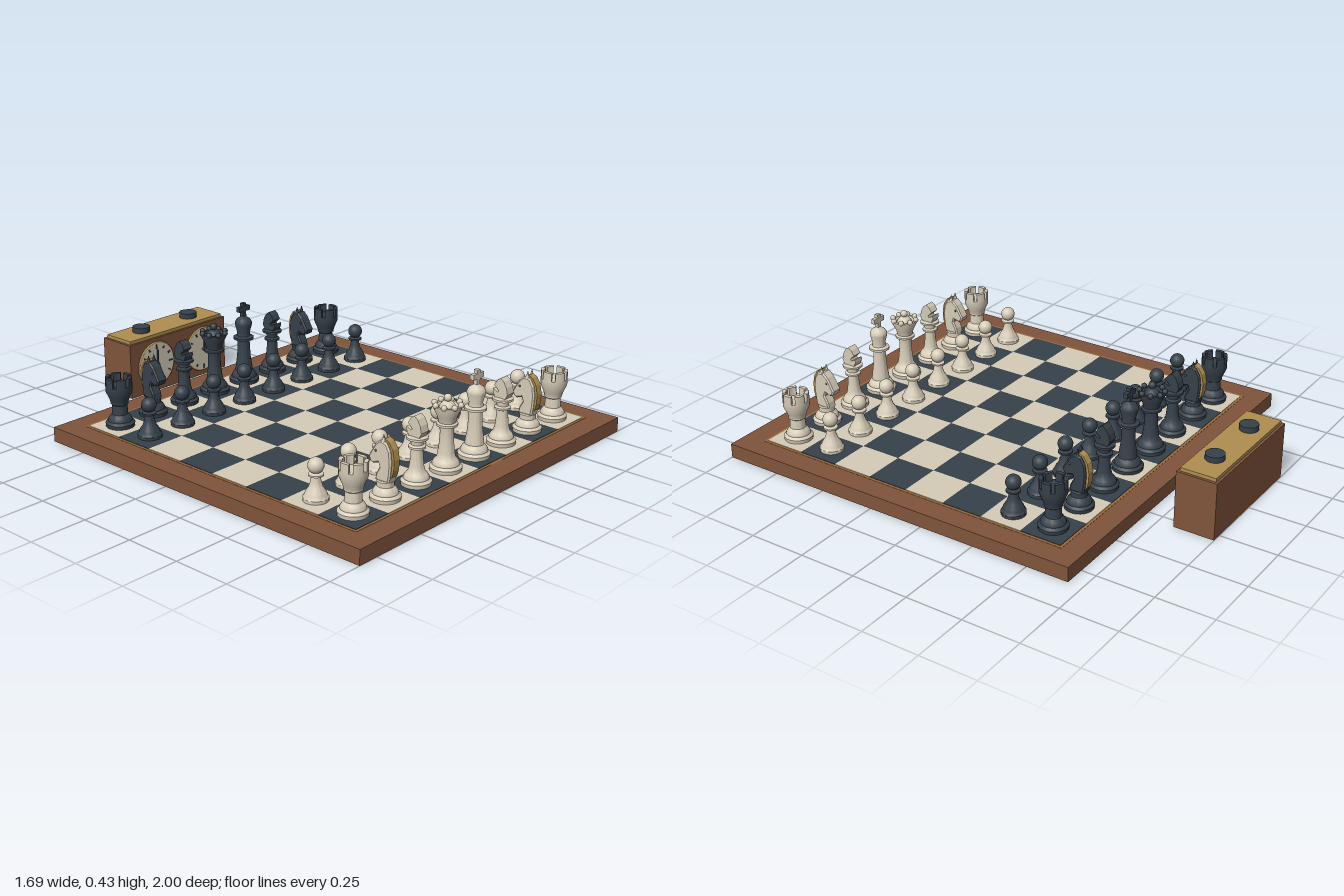
import * as THREE from 'three';
import { toCreasedNormals } from 'three/addons/utils/BufferGeometryUtils.js';

const mat = (color, side = THREE.FrontSide) => new THREE.MeshStandardMaterial({ color, side });
const CREAM = mat(0xd6ccb8), DARK = mat(0x36414a), WOOD = mat(0x80553c);
const BRASS = mat(0xb08f50), TRIM = mat(0x9c6c38);
const SQ = 0.184, CZ = 0.153, TOP = 0.067;

function add(parent, name, geo, material, x = 0, y = 0, z = 0) {
  const m = new THREE.Mesh(geo, material);
  m.name = name;
  m.position.set(x, y, z);
  parent.add(m);
  return m;
}
const box = (w, h, d) => new THREE.BoxGeometry(w, h, d);
const cyl = (r, h, n = 28) => new THREE.CylinderGeometry(r, r, h, n);
const ball = (r) => new THREE.SphereGeometry(r, 20, 14);

// Turned body from [radius, height] pairs, closed on the axis
function turned(points) {
  const p = [[0, 0], ...points, [0, points[points.length - 1][1]]];
  const g = new THREE.LatheGeometry(p.map(([r, y]) => new THREE.Vector2(r, y)), 28);
  return toCreasedNormals(g, 0.6);
}

// Outline of [z, y] pairs, extruded to a slab centred on x = 0
function slab(points, width, bevel = 0) {
  const s = new THREE.Shape(points.map(([z, y]) => new THREE.Vector2(z, y)));
  const g = new THREE.ExtrudeGeometry(s, {
    depth: width - 2 * bevel, bevelEnabled: bevel > 0, bevelSize: bevel, bevelThickness: bevel,
    bevelOffset: -bevel, bevelSegments: 1,
  });
  g.translate(0, 0, -(width - 2 * bevel) / 2);
  g.rotateY(-Math.PI / 2);
  return g;
}

// Shared stepped foot of the large pieces
const foot = (r) => [[r, 0], [r + 0.002, 0.016], [r - 0.004, 0.022], [r - 0.009, 0.026],
  [r - 0.009, 0.032], [r - 0.017, 0.045], [r - 0.026, 0.055]];

const pieces = {
  pawn(g, m) {
    add(g, 'pawnBody', turned([[0.05, 0], [0.051, 0.014], [0.046, 0.02], [0.043, 0.028], [0.04, 0.036],
      [0.028, 0.054], [0.021, 0.075], [0.018, 0.096], [0.03, 0.1], [0.03, 0.107], [0.016, 0.113]]), m);
    add(g, 'pawnHead', ball(0.032), m, 0, 0.14, 0);
  },
  rook(g, m) {
    add(g, 'rookBody', turned([...foot(0.06), [0.033, 0.075], [0.031, 0.095], [0.037, 0.1], [0.037, 0.106],
      [0.043, 0.125], [0.056, 0.155], [0.056, 0.18]]), m);
    // Six curved battlements
    for (let i = 0; i < 6; i++) {
      const a = i * Math.PI / 3, h = 0.38, s = new THREE.Shape();
      s.absarc(0, 0, 0.056, a - h, a + h, false);
      s.absarc(0, 0, 0.04, a + h, a - h, true);
      const geo = new THREE.ExtrudeGeometry(s, { depth: 0.037, bevelEnabled: false, curveSegments: 6 });
      geo.rotateX(-Math.PI / 2);
      add(g, 'rookBattlement', geo, m, 0, 0.18, 0);
    }
  },
  knight(g, m) {
    add(g, 'knightBase', turned([...foot(0.06), [0.034, 0.062], [0.034, 0.075], [0.03, 0.08]]), m);
    // Head and neck in profile, muzzle towards +z
    add(g, 'knightHead', slab([[-0.032, 0.075], [0.034, 0.075], [0.03, 0.1], [0.014, 0.13], [0.02, 0.147],
      [0.045, 0.138], [0.06, 0.146], [0.066, 0.165], [0.052, 0.19], [0.034, 0.22], [0.012, 0.24],
      [-0.018, 0.235], [-0.036, 0.205], [-0.042, 0.16], [-0.038, 0.11]], 0.05, 0.006), m);
    // Brass mane following the back of the neck
    add(g, 'knightMane', slab([[-0.03, 0.095], [-0.042, 0.1], [-0.05, 0.13], [-0.052, 0.17], [-0.044, 0.21],
      [-0.026, 0.238], [-0.006, 0.248], [0, 0.235], [-0.02, 0.215], [-0.03, 0.17]], 0.032), BRASS);
    for (const s of [-1, 1]) {
      add(g, 'knightEar', new THREE.ConeGeometry(0.01, 0.036, 8), m, s * 0.015, 0.249, 0);
      add(g, 'knightEye', ball(0.005), DARK, s * 0.024, 0.194, 0.03);
    }
  },
  bishop(g, m) {
    add(g, 'bishopBody', turned([...foot(0.06), [0.029, 0.075], [0.025, 0.11], [0.023, 0.145], [0.034, 0.15],
      [0.034, 0.158], [0.024, 0.164], [0.026, 0.184], [0.043, 0.187], [0.043, 0.196], [0.026, 0.2]]), m);
    // Mitre in profile with its slanting cut
    add(g, 'bishopMitre', slab([[-0.024, 0.196], [0.024, 0.196], [0.036, 0.22], [0.035, 0.234], [0.012, 0.222],
      [0.008, 0.23], [0.029, 0.25], [0.016, 0.272], [0, 0.284], [-0.016, 0.272], [-0.03, 0.248],
      [-0.036, 0.22]], 0.044), m);
  },
  queen(g, m) {
    add(g, 'queenBody', turned([...foot(0.064), [0.034, 0.075], [0.029, 0.115], [0.027, 0.16], [0.029, 0.183],
      [0.043, 0.187], [0.043, 0.196], [0.034, 0.201], [0.04, 0.225], [0.058, 0.262], [0.058, 0.27],
      [0.046, 0.27], [0.036, 0.255]]), m);
    // Crown points and finial
    for (let i = 0; i < 8; i++) {
      const a = (i + 0.5) * Math.PI / 4;
      add(g, 'crownPoint', new THREE.SphereGeometry(0.0125, 10, 8), m, 0.053 * Math.cos(a), 0.274, 0.053 * Math.sin(a));
    }
    add(g, 'crownDome', new THREE.SphereGeometry(0.034, 20, 8, 0, Math.PI * 2, 0, Math.PI / 2), m, 0, 0.255, 0);
    add(g, 'crownFinial', ball(0.016), m, 0, 0.3, 0);
  },
  king(g, m) {
    add(g, 'kingBody', turned([...foot(0.065), [0.037, 0.075], [0.031, 0.115], [0.028, 0.16], [0.027, 0.195],
      [0.045, 0.2], [0.045, 0.21], [0.03, 0.216], [0.028, 0.23], [0.038, 0.268], [0.038, 0.278],
      [0.03, 0.292], [0.016, 0.301], [0.012, 0.306]]), m);
    add(g, 'crossPost', box(0.02, 0.064, 0.018), m, 0, 0.334, 0);
    add(g, 'crossArm', box(0.066, 0.022, 0.018), m, 0, 0.34, 0);
  },
};

function buildBoard(root) {
  const g = new THREE.Group();
  g.name = 'board';
  add(g, 'boardFrame', box(1.686, 0.064, 1.686), WOOD, 0, 0.032, 0.157);
  add(g, 'boardTrim', box(1.496, 0.004, 1.496), TRIM, 0, 0.063, CZ);
  for (let i = 0; i < 8; i++) for (let j = 0; j < 8; j++) {
    add(g, 'square', box(SQ, 0.006, SQ), (i + j) % 2 ? DARK : CREAM,
      (i - 3.5) * SQ, TOP - 0.003, CZ + (j - 3.5) * SQ);
  }
  root.add(g);
}

function buildPieces(root) {
  const order = ['rook', 'knight', 'bishop', 'queen', 'king', 'bishop', 'knight', 'rook'];
  for (const [side, m] of [[1, CREAM], [-1, DARK]]) {
    for (let i = 0; i < 8; i++) {
      for (const [kind, row] of [[order[i], 3.5], ['pawn', 2.5]]) {
        const g = new THREE.Group();
        g.name = kind;
        pieces[kind](g, m);
        g.position.set((i - 3.5) * SQ, TOP, CZ + side * row * SQ);
        if (side > 0) g.rotation.y = Math.PI;
        root.add(g);
      }
    }
  }
}

function buildClock(root) {
  const g = new THREE.Group();
  g.name = 'clock';
  g.position.z = -0.91;
  add(g, 'clockCase', box(0.586, 0.25, 0.178), WOOD, 0, 0.125, 0);
  add(g, 'clockLid', box(0.562, 0.015, 0.156), BRASS, 0, 0.2575, 0);
  for (const s of [-1, 1]) {
    add(g, 'clockButton', cyl(0.04, 0.024), DARK, s * 0.145, 0.277, 0);
    // Dial facing the board
    const dial = new THREE.Group();
    dial.name = 'dial';
    dial.position.set(s * 0.145, 0.13, 0.089);
    add(dial, 'dialFace', cyl(0.1, 0.012, 40), CREAM, 0, 0, 0.004).rotation.x = Math.PI / 2;
    add(dial, 'dialRim', new THREE.TorusGeometry(0.102, 0.005, 8, 40), BRASS, 0, 0, 0.006);
    for (let i = 0; i < 12; i++) {
      const a = i * Math.PI / 6;
      const t = add(dial, 'hourMark', box(0.006, i % 3 ? 0.012 : 0.02, 0.006), DARK,
        0.084 * Math.sin(a), 0.084 * Math.cos(a), 0.012);
      t.rotation.z = -a;
    }
    for (const [len, a] of s < 0 ? [[0.07, 0], [0.05, -0.9]] : [[0.07, 1.3], [0.05, 0]]) {
      const h = add(dial, 'clockHand', box(0.007, len, 0.006), DARK,
        len / 2 * Math.sin(a), len / 2 * Math.cos(a), 0.018);
      h.rotation.z = -a;
    }
    add(dial, 'handPin', cyl(0.008, 0.016, 12), DARK, 0, 0, 0.016).rotation.x = Math.PI / 2;
    g.add(dial);
  }
  root.add(g);
}

export function createModel() {
  const root = new THREE.Group();
  root.name = 'chessSet';
  buildBoard(root);
  buildPieces(root);
  buildClock(root);
  return root;
}
